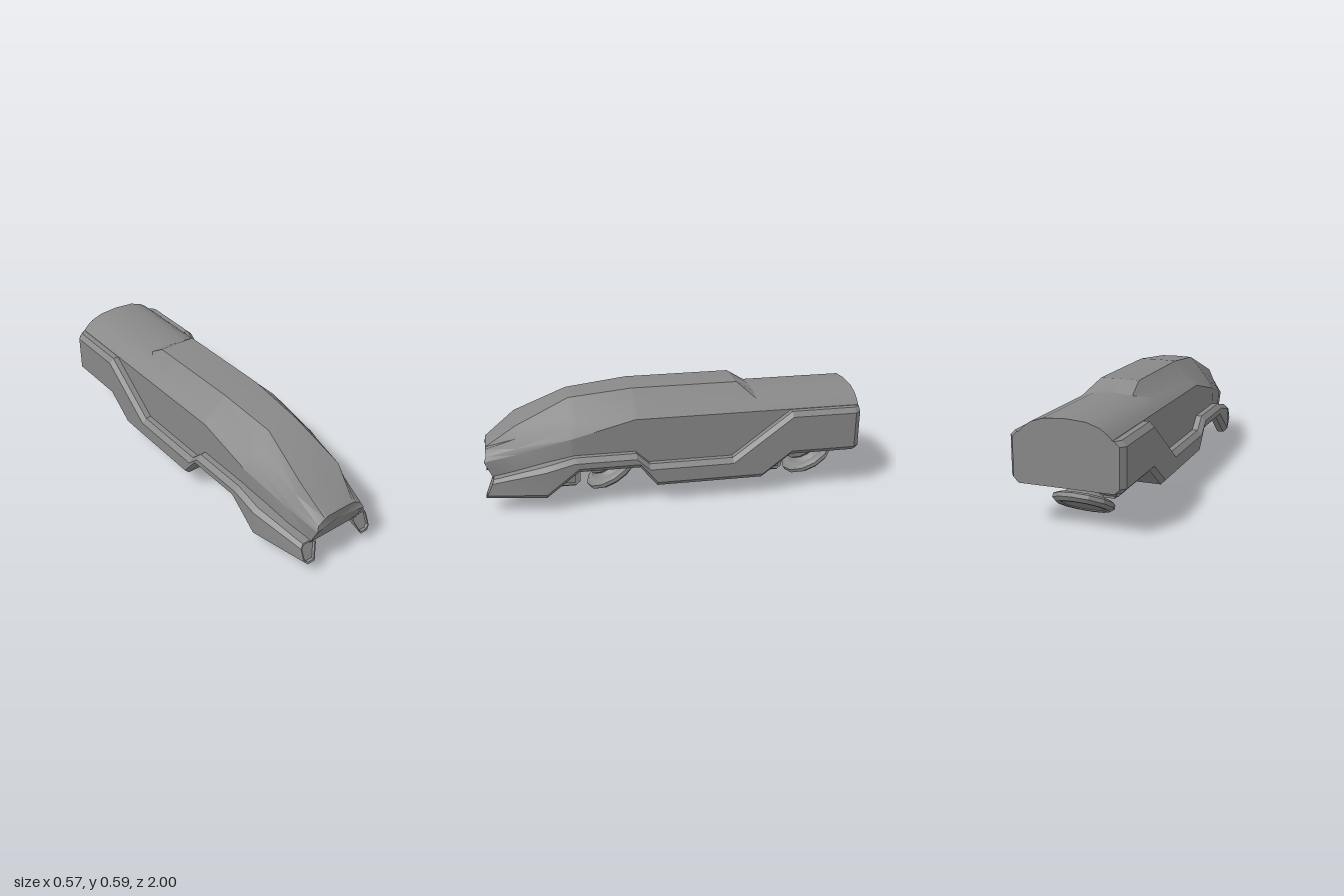
import * as THREE from 'three';
import { toCreasedNormals } from 'three/addons/utils/BufferGeometryUtils.js';

// Piecewise-linear lookup in rows of [z, v1, v2, ...], z ascending
function lookup(rows, z) {
  let i = 0;
  while (i < rows.length - 2 && z > rows[i + 1][0]) i++;
  const a = rows[i], b = rows[i + 1];
  const t = THREE.MathUtils.clamp((z - a[0]) / (b[0] - a[0]), 0, 1);
  return a.slice(1).map((v, k) => v + (b[k + 1] - v) * t);
}

// Skin closed rings of [x, y, z] (counter-clockwise seen from the front), back to front
function loft(rings, crease) {
  const n = rings[0].length, pos = rings.flat(2), idx = [];
  for (let i = 0; i < rings.length - 1; i++) {
    for (let j = 0; j < n; j++) {
      const k = (j + 1) % n, a = i * n + j, b = i * n + k, c = b + n, d = a + n;
      idx.push(a, b, c, a, c, d);
    }
  }
  for (const [r, front] of [[0, false], [rings.length - 1, true]]) {
    const m = pos.length / 3;
    pos.push(...[0, 1, 2].map(k => rings[r].reduce((s, p) => s + p[k], 0) / n));
    for (let j = 0; j < n; j++) {
      const a = r * n + j, b = r * n + (j + 1) % n;
      if (front) idx.push(m, a, b); else idx.push(m, b, a);
    }
  }
  const g = new THREE.BufferGeometry();
  g.setAttribute('position', new THREE.Float32BufferAttribute(pos, 3));
  g.setIndex(idx);
  return toCreasedNormals(g, crease);
}

// Underside height shared by hull and skirts
const rearBelly = [[-1, 0.22], [-0.62, 0.22], [-0.46, 0.1], [0.11, 0.1], [0.2, 0.21], [0.52, 0.21]];
const skirtBelly = [...rearBelly, [0.69, 0.078], [1, 0.078]];
const hullBelly = [...rearBelly, [0.99, 0.16]];
const skirtTop = [[-1, 0.463], [-0.62, 0.463], [-0.3, 0.225], [0.15, 0.225], [0.22, 0.29], [0.54, 0.29], [1, 0.177]];
const skirtOuter = [[-1, 0.262], [-0.97, 0.286], [0.69, 0.286], [1, 0.217]];

// Half sections: shoulder, flank, canopy base, canopy edge (x, y pairs), then centre height
const hullShape = [
  [-1, 0.23, 0.465, 0.205, 0.49, 0.17, 0.515, 0.105, 0.537, 0.545],
  [-0.445, 0.23, 0.465, 0.205, 0.49, 0.17, 0.515, 0.105, 0.537, 0.545],
  [-0.35, 0.23, 0.465, 0.205, 0.49, 0.17, 0.515, 0.103, 0.595, 0.597],
  [0.22, 0.23, 0.465, 0.205, 0.49, 0.17, 0.515, 0.102, 0.595, 0.597],
  [0.55, 0.23, 0.38, 0.2, 0.43, 0.163, 0.475, 0.088, 0.56, 0.562],
  [0.83, 0.185, 0.3, 0.172, 0.328, 0.15, 0.375, 0.123, 0.435, 0.437],
  [0.99, 0.152, 0.256, 0.14, 0.282, 0.1, 0.308, 0.083, 0.315, 0.317],
];

function stations(...tables) {
  return [...new Set(tables.flat().map(r => r[0]))].sort((a, b) => a - b);
}

function hullGeometry() {
  const rings = stations(hullShape, hullBelly).map(z => {
    const s = lookup(hullShape, z), [yb] = lookup(hullBelly, z);
    const nose = z > 0.98;
    const half = [[s[0], yb, nose ? 0.955 : z]];
    for (let k = 0; k < 8; k += 2) half.push([s[k], s[k + 1], nose && k === 0 ? 1 : z]);
    const mirrored = half.map(([x, y, w]) => [-x, y, w]).reverse();
    return [[0, yb, half[0][2]], ...half, [0, s[8], z], ...mirrored];
  });
  return loft(rings, 0.5);
}

function skirtGeometry(side) {
  const rings = stations(skirtBelly, skirtTop, skirtOuter).map(z => {
    const [yb] = lookup(skirtBelly, z), [yt] = lookup(skirtTop, z), [xo] = lookup(skirtOuter, z);
    const c = z > 0.9 ? 0.018 : 0.025;
    const ring = [
      [xo - 0.062, yb], [xo - c, yb], [xo, yb + c], [xo, yt - c],
      [xo - c, yt], [xo - 0.085, yt], [xo - 0.097, yt - 0.017],
    ];
    // slanted tip
    return ring.map(([x, y]) => [x, y, z === 1 ? 1 - 0.45 * (y - 0.078) : z]);
  });
  // inset socket in the tip
  const tip = rings[rings.length - 1];
  const mid = [0, 1, 2].map(k => tip.reduce((s, p) => s + p[k], 0) / tip.length);
  const inset = tip.map(p => p.map((v, k) => mid[k] + (v - mid[k]) * 0.85));
  rings.push(inset, inset.map(([x, y, z]) => [x, y, z - 0.015]));
  const sided = side > 0 ? rings : rings.map(r => r.map(([x, y, z]) => [-x, y, z]).reverse());
  return loft(sided, 0.3);
}

export function createModel() {
  const model = new THREE.Group();
  model.name = 'hoverTrain';
  const grey = new THREE.MeshStandardMaterial({ color: 0x888888 });
  grey.name = 'hull grey';
  const add = (parent, name, geo, x = 0, y = 0, z = 0) => {
    const mesh = new THREE.Mesh(geo, grey);
    mesh.name = name;
    mesh.position.set(x, y, z);
    parent.add(mesh);
    return mesh;
  };

  add(model, 'hull', hullGeometry());
  add(model, 'leftSkirt', skirtGeometry(1));
  add(model, 'rightSkirt', skirtGeometry(-1));

  // Tilted lift pads under the hull, each with a mounting block ahead
  const padProfile = [
    [0, 0.006], [0.108, 0.006], [0.112, 0], [0.13, 0], [0.151, 0.016], [0.151, 0.036],
    [0.132, 0.047], [0.108, 0.05], [0.085, 0.07], [0.1, 0.085], [0.1, 0.13], [0, 0.13],
  ].map(p => new THREE.Vector2(...p));
  const padGeo = toCreasedNormals(new THREE.LatheGeometry(padProfile, 12), 0.4);

  // Side outline of the mounting block, extruded across x
  const outline = [[-0.07, 0.08], [-0.045, 0.06], [0.05, 0.06], [0.075, 0.085], [0.075, 0.21], [-0.07, 0.21]];
  const blockShape = new THREE.Shape(outline.map(([z, y]) => new THREE.Vector2(-z, y)));
  const blockGeo = new THREE.ExtrudeGeometry(blockShape, { depth: 0.18, bevelEnabled: false });
  blockGeo.translate(0, 0, -0.09).rotateY(Math.PI / 2);

  for (const [name, z] of [['front', 0.31], ['rear', -0.82]]) {
    const unit = new THREE.Group();
    unit.name = name + 'LiftUnit';
    unit.position.z = z;
    model.add(unit);
    add(unit, 'liftPad', padGeo, 0, 0.072, 0).rotation.x = Math.PI / 6;
    add(unit, 'mountBlock', blockGeo, 0, 0, 0.26);
    add(unit, 'mountPlate', new THREE.BoxGeometry(0.15, 0.012, 0.1), 0, 0.056, 0.262);
    add(unit, 'mountCollar', new THREE.BoxGeometry(0.23, 0.125, 0.09), 0, 0.148, 0.262);
  }

  // Coupling barrel ahead of the front unit
  const barrelProfile = [
    [0, 0], [0.062, 0], [0.062, 0.06], [0.05, 0.075], [0.05, 0.1],
    [0.038, 0.11], [0.026, 0.11], [0.024, 0.1], [0, 0.1],
  ].map(p => new THREE.Vector2(...p));
  const barrel = toCreasedNormals(new THREE.LatheGeometry(barrelProfile, 12), 0.4);
  add(model, 'couplingBarrel', barrel.rotateX(Math.PI / 2), 0, 0.112, 0.62);

  return model;
}
